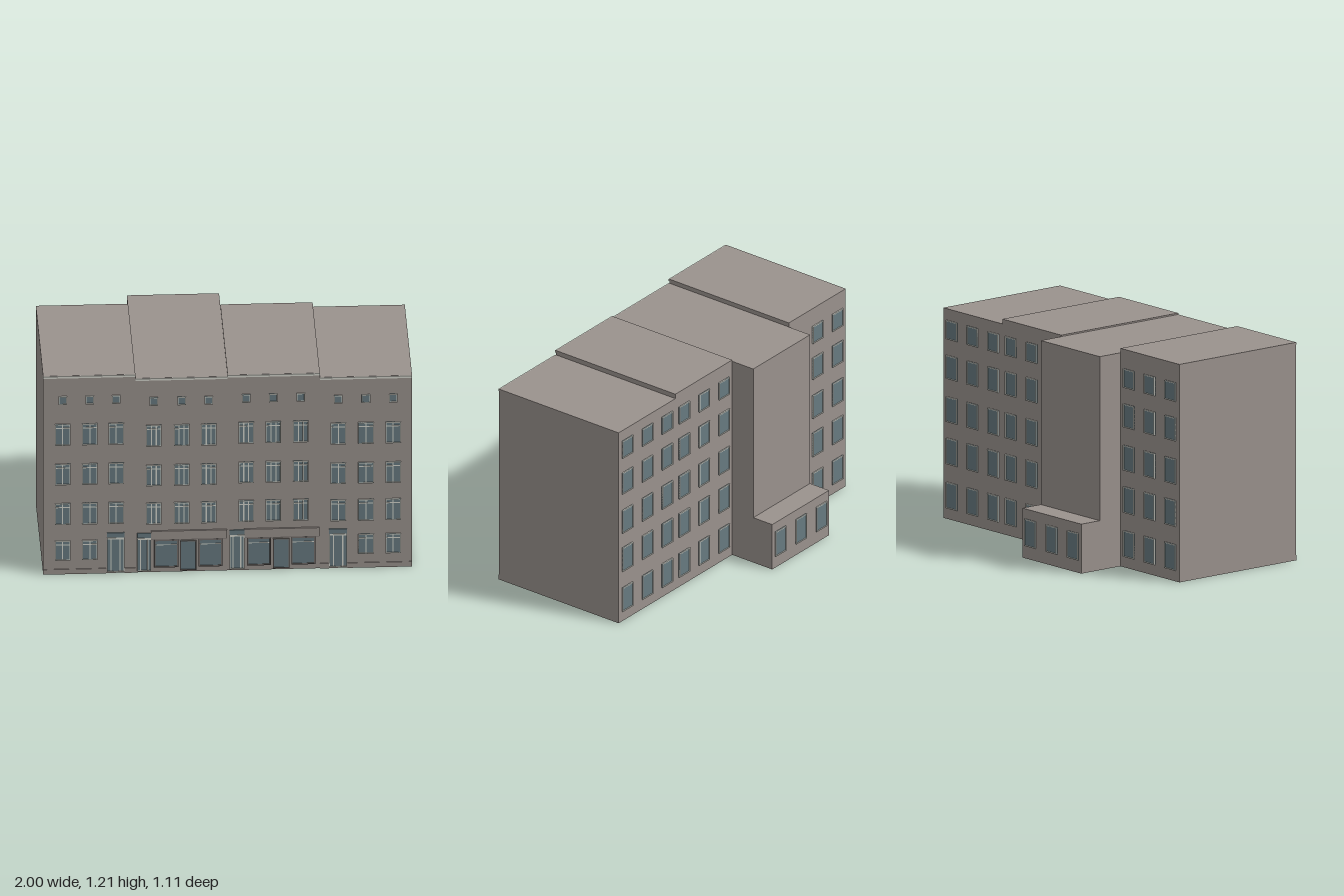
import * as THREE from 'three';

const wall = new THREE.MeshStandardMaterial({ color: 0x9a928d });
const glass = new THREE.MeshStandardMaterial({ color: 0x677a80 });
const trim = new THREE.MeshStandardMaterial({ color: 0xd3d4cc });
const frame = new THREE.MeshStandardMaterial({ color: 0x716c69 });
wall.name = 'wall'; glass.name = 'glass'; trim.name = 'lightTrim'; frame.name = 'shopFrame';

const FRONT = 0.545, BACK = -0.275, ANNEX = -0.55;

// Box given by its limits
function box(parent, name, mat, x0, x1, y0, y1, z0, z1) {
  const mesh = new THREE.Mesh(new THREE.BoxGeometry(x1 - x0, y1 - y0, z1 - z0), mat);
  mesh.position.set((x0 + x1) / 2, (y0 + y1) / 2, (z0 + z1) / 2);
  mesh.name = name;
  parent.add(mesh);
}

// Thin plate standing on a wall at depth z; dir is +1 for the front, -1 for the back
function plate(parent, name, mat, x0, x1, y0, y1, z, thick, dir = 1) {
  box(parent, name, mat, x0, x1, y0, y1, Math.min(z, z + dir * thick), Math.max(z, z + dir * thick));
}

// Glass with a border and optional mullions (offsets from centre) and transom
function windowUnit(parent, name, cx, w, y0, y1, z, dir, { mullions = [], transom = 0, edge = 0.005, mat = trim } = {}) {
  const g = new THREE.Group();
  g.name = name;
  parent.add(g);
  const x0 = cx - w / 2, x1 = cx + w / 2;
  plate(g, 'pane', glass, x0, x1, y0, y1, z, 0.004, dir);
  plate(g, 'jamb', mat, x0, x0 + edge, y0, y1, z, 0.008, dir);
  plate(g, 'jamb', mat, x1 - edge, x1, y0, y1, z, 0.008, dir);
  plate(g, 'head', mat, x0, x1, y1 - edge, y1, z, 0.0075, dir);
  plate(g, 'sill', mat, x0, x1, y0, y0 + edge, z, 0.0085, dir);
  for (const m of mullions) plate(g, 'mullion', mat, cx + m - 0.003, cx + m + 0.003, y0, y1, z, 0.0065, dir);
  if (transom) plate(g, 'transom', mat, x0, x1, transom - 0.003, transom + 0.003, z, 0.006, dir);
}

// Entrance door with a fanlight and side lights
function entrance(parent, x0, x1, y1) {
  const cx = (x0 + x1) / 2, w = x1 - x0;
  windowUnit(parent, 'entranceDoor', cx, w, 0.01, y1 - 0.035, FRONT, 1, { mullions: [-w * 0.26, w * 0.26], edge: 0.004 });
  plate(parent, 'doorFanlight', glass, x0, x1, y1 - 0.028, y1, FRONT, 0.006);
  plate(parent, 'doorLintel', trim, x0, x1, y1 - 0.035, y1 - 0.028, FRONT, 0.009);
}

// Shop front starting at x = s: two display windows, a glazed door and a fascia
function shop(parent, s, fascia0, fascia1) {
  const g = new THREE.Group();
  g.name = 'shopFront';
  parent.add(g);
  plate(g, 'fascia', wall, fascia0, fascia1, 0.203, 0.253, FRONT, 0.01);
  plate(g, 'fasciaShadowGap', frame, fascia0, fascia1, 0.198, 0.203, FRONT, 0.007);
  for (const x of [s, s + 0.24]) {
    windowUnit(g, 'displayWindow', x + 0.065, 0.13, 0.03, 0.198, FRONT, 1, { edge: 0.007, mat: frame });
    plate(g, 'displayTransom', trim, x + 0.007, x + 0.123, 0.165, 0.169, FRONT, 0.006);
  }
  windowUnit(g, 'shopDoor', s + 0.185, 0.09, 0.01, 0.19, FRONT, 1, { edge: 0.005, mat: frame });
}

export function createModel() {
  const model = new THREE.Group();
  model.name = 'terraceBuilding';

  // Four house sections; dy shifts the upper front windows
  const sections = [
    { x: -1, top: 1.212, dy: 0.012, cols: [-0.895, -0.747, -0.605], ground: [-0.895, -0.747], bars: [0] },
    { x: -0.5, top: 1.187, dy: -0.006, cols: [-0.4, -0.25, -0.103], ground: [], bars: [-0.013, 0.013] },
    { x: 0, top: 1.195, dy: 0, cols: [0.1, 0.248, 0.397], ground: [], bars: [-0.013, 0.013] },
    { x: 0.5, top: 1.168, dy: -0.018, cols: [0.6, 0.75, 0.897], ground: [0.75, 0.897], bars: [0] },
  ];
  const floors = [[0.298, 0.427], [0.535, 0.662], [0.777, 0.906]];

  for (const { x, top, dy, cols, ground, bars } of sections) {
    const g = new THREE.Group();
    g.name = 'houseSection';
    model.add(g);
    box(g, 'walls', wall, x, x + 0.5, 0, top, BACK, FRONT);
    plate(g, 'eavesStrip', trim, x, x + 0.5, top - 0.013, top - 0.001, FRONT, 0.006);

    // Front windows
    for (const cx of cols) {
      for (const [a, b] of floors) {
        const y0 = a + dy * (a > 0.4 ? 1 : 0.5), y1 = b + dy * (a > 0.4 ? 1 : 0.5);
        windowUnit(g, 'frontWindow', cx, 0.084, y0, y1, FRONT, 1, { mullions: bars, transom: y1 - 0.024 });
      }
      windowUnit(g, 'atticWindow', cx, 0.046, 1.027 + dy, 1.076 + dy, FRONT, 1);
    }
    for (const cx of ground) {
      windowUnit(g, 'groundWindow', cx, 0.084, 0.086, 0.205, FRONT, 1, { mullions: bars, transom: 0.18 });
    }

    // Back windows, left out where the rear wing covers the wall
    if (x === -0.5) continue;
    const backRows = [[0.06, 0.205], [0.305, 0.45], [0.54, 0.68], [0.78, 0.91], [1.0, 1.105]];
    for (const off of [0.075, 0.25, 0.425]) {
      for (const [a, b] of backRows) windowUnit(g, 'backWindow', x + off, 0.092, a, b, BACK, -1);
    }
  }

  // Low plinth between the doors and at the ends
  for (const [a, b] of [[-1, -0.66], [-0.56, -0.5], [0.5, 0.548], [0.65, 1]]) {
    plate(model, 'plinth', wall, a, b, 0, 0.03, FRONT, 0.004);
  }

  // Rear wing: tall block and low annex
  box(model, 'rearWing', wall, -0.5, 0, 0, 1.187, -0.42, BACK);
  box(model, 'rearAnnex', wall, -0.5, 0, 0, 0.275, ANNEX, -0.42);
  for (const cx of [-0.43, -0.25, -0.07]) {
    windowUnit(model, 'annexWindow', cx, 0.092, 0.07, 0.22, ANNEX, -1);
  }

  // Entrances and shop fronts
  entrance(model, -0.655, -0.56, 0.247);
  entrance(model, -0.49, -0.415, 0.24);
  entrance(model, 0.01, 0.09, 0.247);
  entrance(model, 0.55, 0.647, 0.24);
  shop(model, -0.398, -0.415, -0.003);
  shop(model, 0.105, 0.09, 0.497);

  return model;
}
